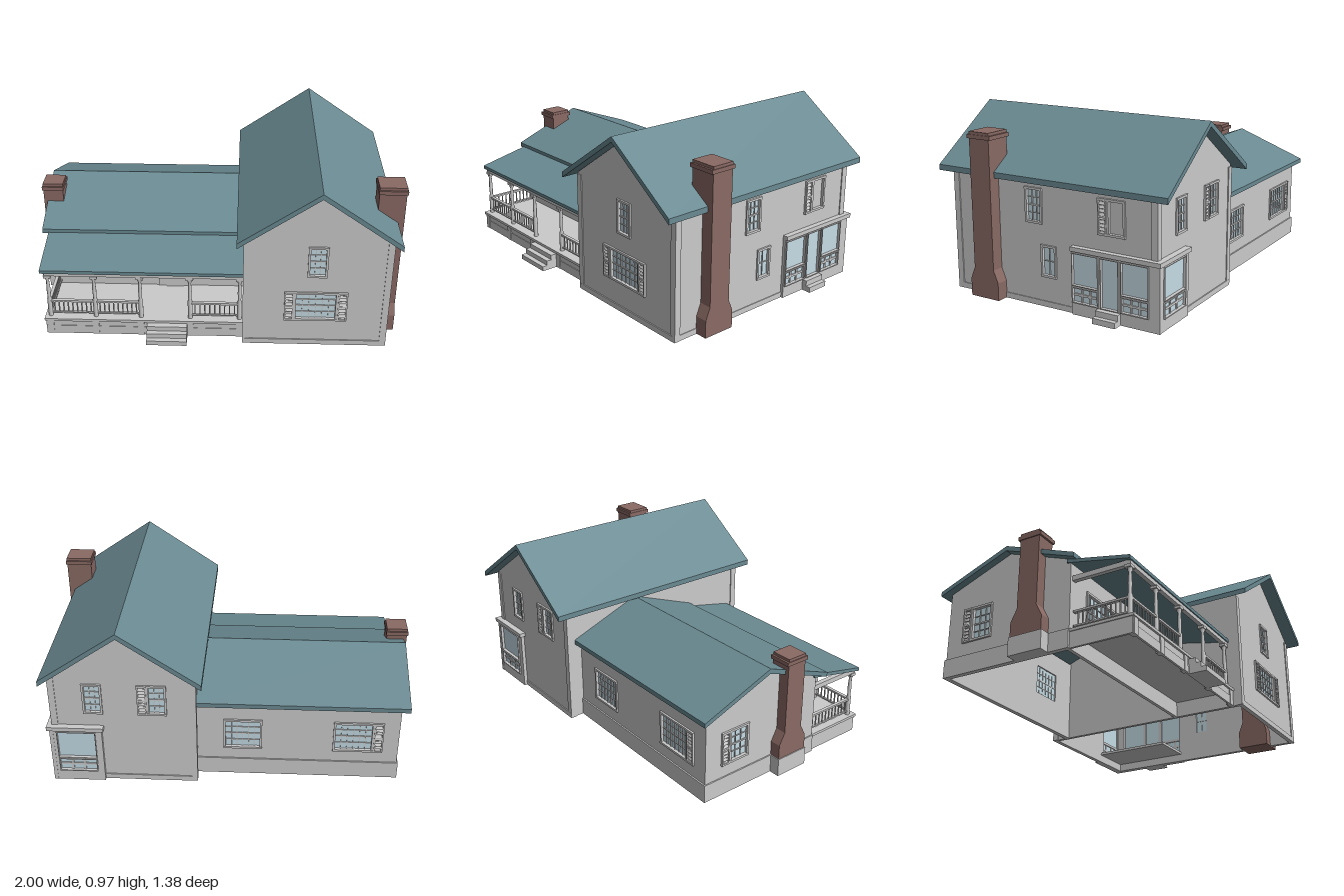
import * as THREE from 'three';

const mat = (color, side = THREE.FrontSide) => new THREE.MeshStandardMaterial({ color, side });
const GREY = mat(0xcccccc), GLASS = mat(0xc6dde6), ROOF = mat(0x6a8a92), BRICK = mat(0x8a6a64);

function add(parent, name, geo, material = GREY) {
  const m = new THREE.Mesh(geo, material);
  m.name = name;
  parent.add(m);
  return m;
}

// box given by its min and max corners
function box(parent, name, x0, x1, y0, y1, z0, z1, material = GREY) {
  const m = add(parent, name, new THREE.BoxGeometry(x1 - x0, y1 - y0, z1 - z0), material);
  m.position.set((x0 + x1) / 2, (y0 + y1) / 2, (z0 + z1) / 2);
  return m;
}

const shapeOf = pts => new THREE.Shape(pts.map(p => new THREE.Vector2(...p)));
const rect = (u0, u1, v0, v1) => [[u0, v0], [u1, v0], [u1, v1], [u0, v1]];
const extrude = (shape, depth) => new THREE.ExtrudeGeometry(shape, { depth, bevelEnabled: false });

// (z, y) profile swept from x0 to x1
function sweepX(parent, name, pts, x0, x1, material) {
  const geo = extrude(shapeOf(pts.map(([z, y]) => [-z, y])), x1 - x0);
  geo.rotateY(Math.PI / 2).translate(x0, 0, 0);
  return add(parent, name, geo, material);
}

// louvred shutter
function shutter(parent, u, v0, v1) {
  const g = new THREE.Group();
  g.name = 'shutter';
  parent.add(g);
  const w = 0.042;
  for (const s of [-1, 1]) box(g, 'shutterStile', u + s * w / 2 - 0.004, u + s * w / 2 + 0.004, v0, v1, 0, 0.012);
  for (const v of [v0, (v0 + v1) / 2 - 0.005, v1 - 0.01]) box(g, 'shutterRail', u - w / 2, u + w / 2, v, v + 0.01, 0, 0.011);
  const n = 10;
  for (let i = 0; i < n; i++) {
    const v = v0 + (i + 0.5) * (v1 - v0) / n;
    box(g, 'louvre', u - w / 2, u + w / 2, v - 0.006, v + 0.006, 0.003, 0.006).rotation.x = -0.5;
  }
}

// glazed window with casing, sill and glazing bars
function windowUnit(parent, { u, v, w, h, cols = 2, rows = 4, shut = '', pane = GLASS, bar = 0.004, trim = 0.012 }) {
  const g = new THREE.Group();
  g.name = 'window';
  parent.add(g);
  const u0 = u - w / 2, u1 = u + w / 2, v1 = v + h;
  box(g, 'pane', u0, u1, v, v1, -0.012, -0.008, pane);
  if (trim) {
    for (const [a, b] of [[u0, u0 + trim], [u1 - trim, u1]]) box(g, 'casing', a, b, v, v1, -0.02, 0.008);
    for (const [a, b] of [[v, v + trim], [v1 - trim, v1]]) box(g, 'casing', u0, u1, a, b, -0.02, 0.01);
  }
  const iu = w - 2 * trim, iv = h - 2 * trim;
  for (let i = 1; i < cols; i++) {
    const c = u0 + trim + iu * i / cols;
    box(g, 'glazingBar', c - bar / 2, c + bar / 2, v, v1, -0.015, -0.003);
  }
  for (let j = 1; j < rows; j++) {
    const c = v + trim + iv * j / rows, t = rows === 4 && j === 2 ? 0.004 : bar / 2;
    box(g, 'glazingBar', u0, u1, c - t, c + t, -0.015, -0.003);
  }
  if (shut.includes('L')) shutter(g, u0 - 0.025, v, v1);
  if (shut.includes('R')) shutter(g, u1 + 0.025, v, v1);
}

// wall facing local +z, pierced for its windows and plain openings
function wall(parent, name, pos, rotY, pts, windows = [], openings = []) {
  const g = new THREE.Group();
  g.name = name;
  const shape = shapeOf(pts);
  const holes = windows.map(({ u, v, w, h }) => rect(u - w / 2, u + w / 2, v, v + h)).concat(openings);
  for (const h of holes) shape.holes.push(new THREE.Path(h.map(p => new THREE.Vector2(...p))));
  add(g, name + 'Panel', extrude(shape, 0.02).translate(0, 0, -0.02));
  windows.forEach(w => windowUnit(g, w));
  g.position.set(...pos);
  g.rotation.y = rotY;
  parent.add(g);
  return g;
}
const RIGHT = Math.PI / 2, LEFT = -Math.PI / 2, BACK = Math.PI;

function mainHouse(root) {
  const g = new THREE.Group();
  g.name = 'mainHouse';
  root.add(g);
  const gable = s => [[s * 0.157, 0], [s * 0.925, 0], [s * 0.925, 0.67], [s * 0.541, 0.936], [s * 0.157, 0.67]];
  const upper = { v: 0.435, w: 0.105, h: 0.185 };
  wall(g, 'frontWall', [0, 0, 0.615], 0, gable(1), [
    { ...upper, u: 0.541, cols: 3 },
    { u: 0.541, v: 0.16, w: 0.235, h: 0.18, cols: 6, shut: 'LR' }]);
  wall(g, 'backWall', [0, 0, -0.615], BACK, gable(-1), [
    { ...upper, u: -0.7, cols: 3 }, { ...upper, u: -0.36, cols: 3, shut: 'L' }],
    [rect(-0.9, -0.69, 0.07, 0.32)]);
  wall(g, 'rightWall', [0.925, 0, 0], RIGHT, rect(-0.615, 0.615, 0, 0.67), [
    { ...upper, u: -0.1, cols: 3 }, { ...upper, u: 0.39, cols: 1, rows: 1, shut: 'L', pane: GREY },
    { u: -0.013, v: 0.16, w: 0.095, h: 0.17, rows: 2 }], [rect(0.15, 0.57, 0.07, 0.32)]);
  wall(g, 'leftWall', [0.157, 0, 0], LEFT, rect(-0.615, 0.615, 0, 0.67));
  // corner boards and base boards
  for (const x of [0.157, 0.925]) for (const z of [-0.615, 0.615]) {
    const sx = x < 0.5 ? 1 : -1, sz = -Math.sign(z), a = x - sx * 0.005, b = z - sz * 0.005;
    const f = (p, s, l) => [Math.min(p, p + s * l), Math.max(p, p + s * l)];
    box(g, 'cornerBoard', ...f(a, sx, 0.035), 0, 0.66, ...f(b, sz, 0.006));
    box(g, 'cornerBoard', ...f(a, sx, 0.006), 0, 0.66, ...f(b, sz, 0.035));
  }
  for (const z of [-0.617, 0.617]) box(g, 'baseBoard', 0.157, 0.925, 0, 0.03, z - 0.004, z + 0.004);
  box(g, 'baseBoard', 0.921, 0.929, 0, 0.03, -0.615, 0.615);
  // gable roof
  const roof = shapeOf([[0.117, 0.645], [0.54, 0.937], [0.96, 0.645], [0.96, 0.675], [0.54, 0.966], [0.117, 0.675]]);
  add(g, 'mainRoof', extrude(roof, 1.38).translate(0, 0, -0.69), ROOF);
}

// glazed porch wrapping the back corner
function sunPorch(root) {
  const g = new THREE.Group();
  g.name = 'sunPorch';
  root.add(g);
  const bay = (u, w) => [
    { u, w, v: 0.155, h: 0.17, cols: 1, rows: 1, trim: 0.004 },
    { u, w, v: 0.065, h: 0.085, cols: 3, rows: 2, bar: 0.012, trim: 0.006 }];
  wall(g, 'porchSide', [0.942, 0, 0], RIGHT, rect(0.135, 0.64, 0, 0.335), [
    ...bay(0.217, 0.155), { u: 0.36, w: 0.105, v: 0.065, h: 0.26, cols: 1, rows: 1, trim: 0.004 }, ...bay(0.502, 0.155)]);
  wall(g, 'porchBack', [0, 0, -0.638], BACK, rect(-0.941, -0.66, 0, 0.335), bay(-0.8, 0.21));
  box(g, 'porchRoof', 0.65, 0.955, 0.333, 0.356, -0.65, -0.135);
  box(g, 'porchFloor', 0.66, 0.93, 0.045, 0.06, -0.63, -0.14);
  box(g, 'sideStep', 0.94, 0.97, 0, 0.06, -0.42, -0.29);
  box(g, 'sideStep', 0.94, 0.995, 0, 0.03, -0.42, -0.29);
}

function wing(root) {
  const g = new THREE.Group();
  g.name = 'wing';
  root.add(g);
  const low = { v: 0.17, h: 0.19 };
  wall(g, 'wingBackWall', [0, 0, -0.53], BACK, rect(-0.157, 0.935, 0, 0.475), [
    { ...low, u: 0.09, w: 0.21, cols: 6 }, { ...low, u: 0.69, w: 0.22, cols: 6, shut: 'R' }]);
  wall(g, 'wingLeftWall', [-0.935, 0, 0], LEFT,
    [[-0.53, 0], [0.22, 0], [0.22, 0.475], [-0.155, 0.615], [-0.53, 0.475]],
    [{ ...low, u: -0.315, w: 0.13, cols: 3, shut: 'L' }]);
  const front = wall(g, 'wingFrontWall', [0, 0, 0.22], 0, rect(-0.935, 0.157, 0, 0.475),
    [{ ...low, u: -0.63, w: 0.33, cols: 9 }]);
  // panelled front door with side trim
  box(front, 'doorSurround', -0.335, -0.165, 0.1, 0.36, 0, 0.008);
  box(front, 'door', -0.29, -0.19, 0.1, 0.345, 0, 0.014);
  for (const u of [-0.263, -0.217]) for (const [v, h] of [[0.12, 0.07], [0.205, 0.08], [0.3, 0.03]])
    box(front, 'doorPanel', u - 0.014, u + 0.014, v, v + h, 0, 0.019);
  const knob = add(front, 'doorKnob', new THREE.SphereGeometry(0.006, 10, 8));
  knob.position.set(-0.284, 0.215, 0.02);
  // foundation
  box(g, 'foundation', -0.942, 0.157, 0, 0.1, -0.538, -0.525);
  box(g, 'foundation', -0.942, -0.93, 0, 0.1, -0.538, 0.22);
  sweepX(g, 'wingRoof', [[-0.57, 0.46], [-0.155, 0.615], [0.26, 0.46], [0.26, 0.485], [-0.155, 0.642], [-0.57, 0.485]], -0.975, 0.16, ROOF);
}

// railing between two points on the porch floor
function railing(parent, x0, z0, x1, z1) {
  const g = new THREE.Group();
  g.name = 'railing';
  const len = Math.hypot(x1 - x0, z1 - z0);
  box(g, 'topRail', 0, len, 0.192, 0.203, -0.009, 0.009);
  box(g, 'bottomRail', 0, len, 0.118, 0.126, -0.006, 0.006);
  const n = Math.round(len / 0.026);
  for (let i = 1; i < n; i++) {
    const b = add(g, 'baluster', new THREE.CylinderGeometry(0.004, 0.004, 0.07, 6));
    b.position.set(i * len / n, 0.158, 0);
  }
  g.position.set(x0, 0, z0);
  g.rotation.y = -Math.atan2(z1 - z0, x1 - x0);
  parent.add(g);
}

function frontPorch(root) {
  const g = new THREE.Group();
  g.name = 'frontPorch';
  root.add(g);
  box(g, 'porchDeck', -0.935, 0.157, 0.085, 0.1, 0.22, 0.573);
  box(g, 'porchSkirt', -0.925, 0.157, 0.05, 0.085, 0.55, 0.562);
  box(g, 'porchSkirt', -0.925, 0.157, 0, 0.05, 0.553, 0.565);
  box(g, 'porchSkirt', -0.93, -0.918, 0, 0.085, 0.22, 0.562);
  // turned posts on low piers
  const posts = [-0.905, -0.655, -0.405, -0.135, 0.135];
  const turned = [[0.013, 0.1], [0.013, 0.21], [0.009, 0.22], [0.011, 0.27], [0.008, 0.33], [0.013, 0.34], [0.013, 0.365]]
    .map(p => new THREE.Vector2(...p));
  for (const x of posts) {
    add(g, 'porchPost', new THREE.LatheGeometry(turned, 10), mat(0xcccccc, THREE.DoubleSide)).position.set(x, 0, 0.535);
    box(g, 'postCap', x - 0.02, x + 0.02, 0.35, 0.366, 0.515, 0.55);
    box(g, 'porchPier', x - 0.018, x + 0.018, 0, 0.085, 0.54, 0.568);
  }
  for (const i of [0, 1, 3]) railing(g, posts[i], 0.535, posts[i + 1], 0.535);
  railing(g, -0.905, 0.225, -0.905, 0.535);
  box(g, 'porchBeam', -0.92, 0.157, 0.363, 0.39, 0.523, 0.547);
  box(g, 'porchBeam', -0.92, -0.895, 0.363, 0.39, 0.22, 0.54);
  sweepX(g, 'porchRoof', [[0.2, 0.458], [0.555, 0.383], [0.555, 0.402], [0.2, 0.478]], -0.942, 0.157, ROOF);
  // entry steps
  for (let i = 0; i < 3; i++) box(g, 'entryStep', -0.37, -0.15, 0, 0.027 * (i + 1), 0.56, 0.66 - i * 0.029);
}

// chimney with flared shoulders and a stepped cap
function chimney(root, name, zc, x0, x1, y0, shoulder, neck, top, baseHalf, half) {
  const g = new THREE.Group();
  g.name = name;
  root.add(g);
  const side = [[baseHalf, y0], [baseHalf, shoulder], [half, neck], [half, top - 0.01]];
  const pts = [...side, ...side.map(([z, y]) => [-z, y]).reverse()].map(([z, y]) => [z + zc, y]);
  sweepX(g, name + 'Stack', pts, x0 + 0.005, x1 - 0.005, BRICK);
  box(g, name + 'Cap', x0, x1, top - 0.036, top - 0.015, zc - half - 0.011, zc + half + 0.011, BRICK);
  box(g, name + 'Crown', x0 + 0.004, x1 - 0.004, top - 0.015, top, zc - half, zc + half, BRICK);
}

export function createModel() {
  const root = new THREE.Group();
  root.name = 'farmhouse';
  mainHouse(root);
  sunPorch(root);
  wing(root);
  frontPorch(root);
  chimney(root, 'mainChimney', 0.385, 0.845, 0.997, 0, 0.095, 0.16, 0.88, 0.09, 0.063);
  chimney(root, 'wingChimney', 0.007, -1, -0.878, 0.1, 0.18, 0.245, 0.667, 0.092, 0.058);
  box(root, 'wingChimneyFooting', -1, -0.93, 0, 0.1, -0.09, 0.105);
  return root;
}
